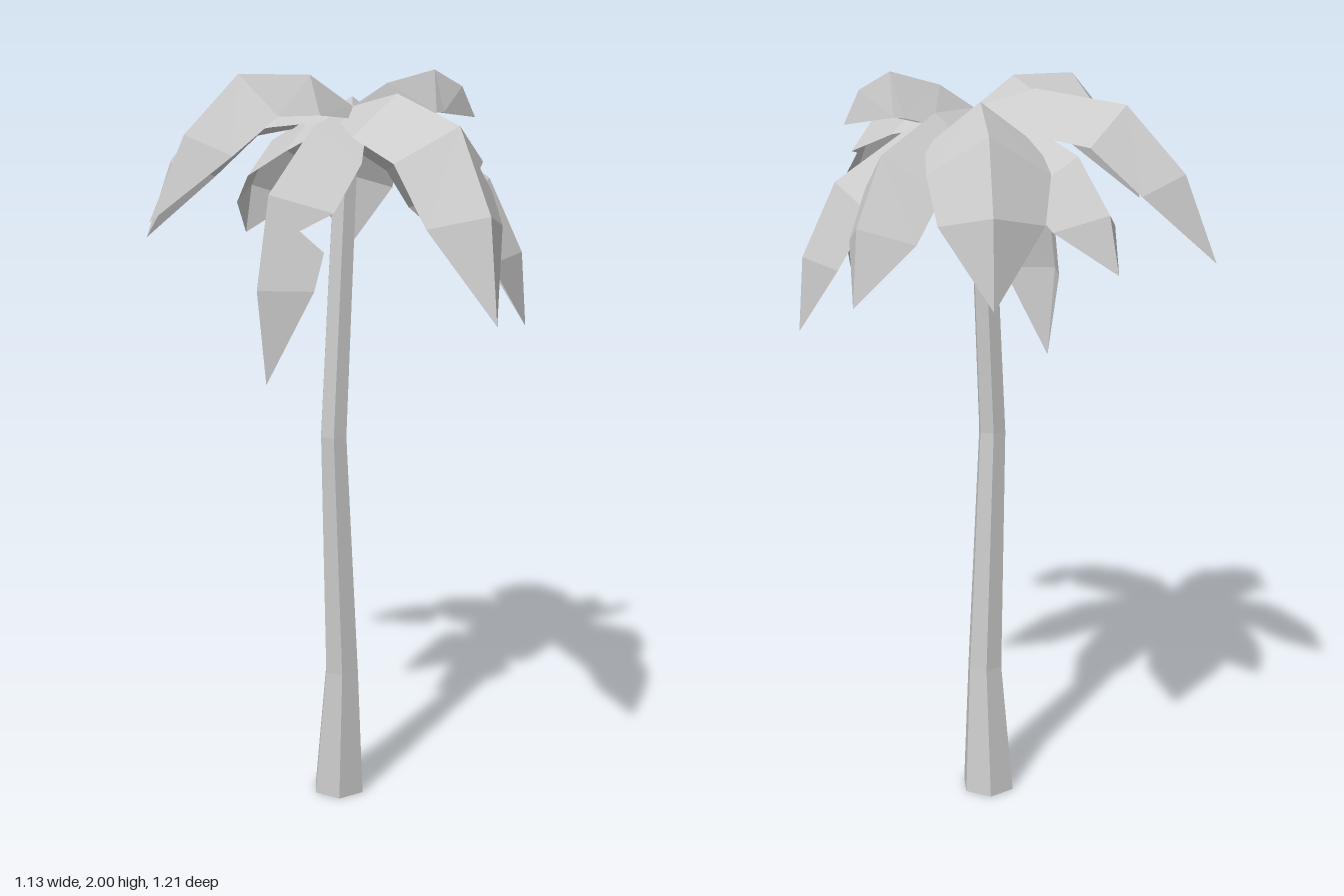
import * as THREE from 'three';

const bark = new THREE.MeshStandardMaterial({ color: 0xcccccc, flatShading: true });
const leaf = new THREE.MeshStandardMaterial({ color: 0xcccccc, flatShading: true, side: THREE.DoubleSide });

// Bent six-sided trunk: a unit cylinder whose rings are moved and scaled
function makeTrunk() {
  const rings = [ // x, y, z, radius
    [-0.017, 0, -0.038, 0.077], [-0.025, 0.37, -0.018, 0.051],
    [-0.06, 1.05, -0.014, 0.039], [-0.01, 1.9, -0.008, 0.033]];
  const g = new THREE.CylinderGeometry(1, 1, rings.length - 1, 6, rings.length - 1);
  g.rotateY(0.25);
  const p = g.attributes.position;
  for (let i = 0; i < p.count; i++) {
    const [x, y, z, r] = rings[Math.round(p.getY(i) + (rings.length - 1) / 2)];
    p.setXYZ(i, x + r * p.getX(i), y, z + r * p.getZ(i));
  }
  g.computeVertexNormals();
  const trunk = new THREE.Mesh(g, bark);
  trunk.name = 'trunk';
  return trunk;
}

// Gabled frond: the ridge is an arc from the crown to the tip, and a flank
// falls away on each side. bend is the arc's control point as
// [share of the reach, height, sideways shift]; torn is the sign of the side with a notch.
const STEPS = [0, 0.18, 0.5, 0.78, 1];
const PROFILE = [0.35, 0.95, 1, 0.85, 0];
const DROP = 0.11;
function makeFrond({ name, tip, bend, widths, torn }) {
  const [x, y, z] = tip;
  const side = new THREE.Vector3(z, 0, -x).normalize();
  const base = new THREE.Vector3(0, 1.91, 0);
  const control = new THREE.Vector3(x * bend[0], bend[1], z * bend[0]).addScaledVector(side, bend[2]);
  const arc = new THREE.QuadraticBezierCurve3(base, control, new THREE.Vector3(x, y, z));
  const R = STEPS.map((t) => arc.getPoint(t)), tris = [];
  [1, -1].forEach((sign, s) => {
    const E = R.map((p, i) => {
      const normal = arc.getTangent(STEPS[i]).cross(side).normalize();
      return p.clone().addScaledVector(side, sign * widths[s] * PROFILE[i])
        .addScaledVector(normal, -DROP * PROFILE[i]);
    });
    for (let i = 0; i < 4; i++) {
      let faces = [R[i], E[i], E[i + 1], R[i], E[i + 1], R[i + 1]];
      if (i === 2 && sign === torn) {
        // V-shaped tear in the edge
        const lip = E[2].clone().lerp(E[3], 0.5);
        const tear = R[2].clone().lerp(R[3], 0.3).lerp(E[2].clone().lerp(E[3], 0.3), 0.55);
        faces = [R[2], E[2], tear, R[2], tear, R[3], tear, lip, E[3], tear, E[3], R[3]];
      }
      // the upper surface is the front face on both flanks
      if (sign < 0) faces.reverse();
      tris.push(...faces);
    }
  });
  const g = new THREE.BufferGeometry().setFromPoints(tris);
  g.computeVertexNormals();
  const frond = new THREE.Mesh(g, leaf);
  frond.name = name;
  return frond;
}

const FRONDS = [
  { name: 'rightFrond', tip: [-0.57, 1.64, -0.135], bend: [0.7, 2.2, 0.06], widths: [0.11, 0.17], torn: -1 },
  { name: 'backFrond', tip: [-0.2, 1.55, -0.605], bend: [0.75, 2.12, 0], widths: [0.12, 0.12], torn: 1 },
  { name: 'backLowFrond', tip: [0.1, 1.55, -0.52], bend: [0.95, 1.9, 0], widths: [0.12, 0.12], torn: 0 },
  { name: 'backLeftFrond', tip: [0.43, 1.5, -0.41], bend: [1, 2.04, 0], widths: [0.15, 0.14], torn: 0 },
  { name: 'leftFrond', tip: [0.56, 1.49, -0.1], bend: [0.85, 1.94, -0.07], widths: [0.13, 0.09], torn: 0 },
  { name: 'topFrond', tip: [0.34, 1.88, 0.13], bend: [0.75, 2.11, -0.04], widths: [0.06, 0.03], torn: 0 },
  { name: 'frontLeftFrond', tip: [0.32, 1.34, 0.33], bend: [1.05, 1.83, 0], widths: [0.12, 0.13], torn: -1 },
  { name: 'frontFrond', tip: [-0.16, 1.42, 0.605], bend: [0.93, 2.07, 0.03], widths: [0.12, 0.14], torn: 1 },
  { name: 'rightLowFrond', tip: [-0.3, 1.22, -0.02], bend: [1.4, 1.83, 0], widths: [0.13, 0.11], torn: 1 },
];

export function createModel() {
  const tree = new THREE.Group();
  tree.name = 'palmTree';
  const crown = new THREE.Group();
  crown.name = 'crown';
  FRONDS.forEach((frond) => crown.add(makeFrond(frond)));
  tree.add(makeTrunk(), crown);
  return tree;
}
